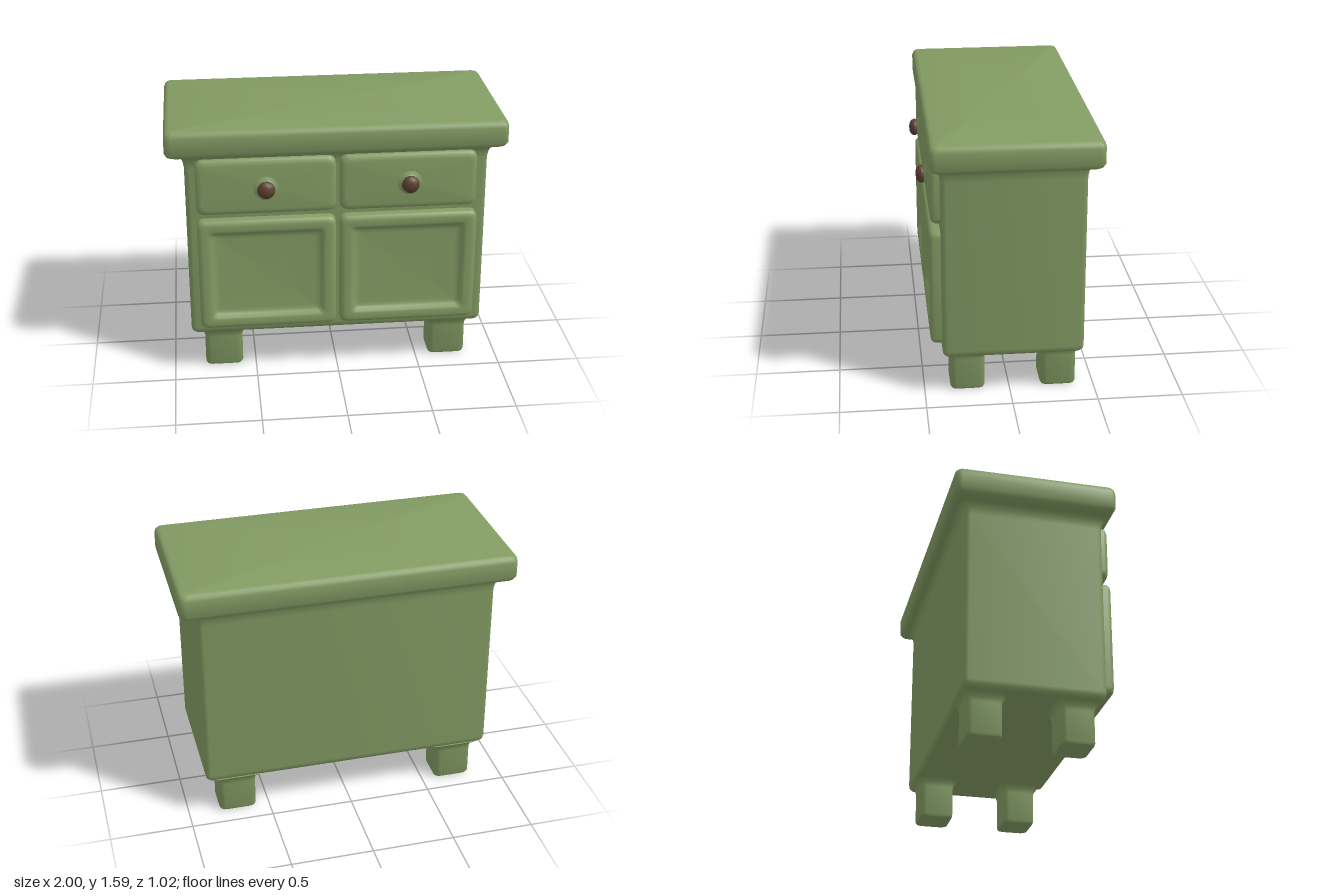
import * as THREE from 'three';
import { toCreasedNormals } from 'three/addons/utils/BufferGeometryUtils.js';

const green = new THREE.MeshStandardMaterial({ color: 0x829b63 });
green.name = 'sage green paint';
const brown = new THREE.MeshStandardMaterial({ color: 0x5c4030 });
brown.name = 'brown knob';

const STEPS = 4; // segments per rounded corner

// Closed solid through rounded rectangles: [height, inset, cornerRadius], inset from box [x0, x1, z0, z1]
function loft([x0, x1, z0, z1], sections) {
  const pos = [], index = [], n = 4 * (STEPS + 1);
  for (const [y, inset, r] of sections) {
    const corners = [
      [x1 - inset - r, z1 - inset - r], [x0 + inset + r, z1 - inset - r],
      [x0 + inset + r, z0 + inset + r], [x1 - inset - r, z0 + inset + r],
    ];
    corners.forEach(([cx, cz], c) => {
      for (let s = 0; s <= STEPS; s++) {
        const a = (c + s / STEPS) * Math.PI / 2;
        pos.push(cx + r * Math.cos(a), y, cz + r * Math.sin(a));
      }
    });
  }
  const last = sections.length - 1;
  for (let k = 0; k < last; k++) {
    for (let i = 0; i < n; i++) {
      const j = (i + 1) % n, a = k * n, b = a + n;
      index.push(a + i, b + i, b + j, a + i, b + j, a + j);
    }
  }
  // end caps
  const mx = (x0 + x1) / 2, mz = (z0 + z1) / 2, base = pos.length / 3;
  pos.push(mx, sections[0][0], mz, mx, sections[last][0], mz);
  for (let i = 0; i < n; i++) {
    const j = (i + 1) % n;
    index.push(base, i, j, base + 1, last * n + j, last * n + i);
  }
  const geo = new THREE.BufferGeometry();
  geo.setAttribute('position', new THREE.Float32BufferAttribute(pos, 3));
  geo.setIndex(index);
  return geo;
}

function add(parent, name, geo, material = green) {
  const mesh = new THREE.Mesh(toCreasedNormals(geo, 0.75), material);
  mesh.name = name;
  parent.add(mesh);
  return mesh;
}

// Front piece: lofted forwards along z, outline given in x and y
function frontPiece(x0, x1, y0, y1, sections) {
  return loft([x0, x1, -y1, -y0], sections).rotateX(Math.PI / 2);
}

export function createModel() {
  const group = new THREE.Group();
  group.name = 'sideboard';

  // Cabinet body, flaring softly into the top board
  add(group, 'body', loft([-0.89, 0.89, -0.43, 0.395], [
    [0.25, 0.035, 0.03], [0.257, 0.015, 0.03], [0.272, 0.004, 0.03], [0.295, 0, 0.03],
    [1.34, 0, 0.03], [1.38, -0.006, 0.03], [1.405, -0.018, 0.035], [1.43, -0.045, 0.04],
  ]));

  // Thick top board with rounded edges
  add(group, 'topBoard', loft([-1, 1, -0.51, 0.46], [
    [1.412, 0.06, 0.03], [1.418, 0.034, 0.035], [1.43, 0.012, 0.04], [1.452, 0, 0.04],
    [1.548, 0, 0.04], [1.57, 0.006, 0.04], [1.581, 0.016, 0.035], [1.586, 0.034, 0.03],
  ]));

  // Four square legs, flaring into the underside
  for (const side of [-1, 1]) {
    for (const [place, z0, z1] of [['front', 0.145, 0.347], ['back', -0.395, -0.185]]) {
      const x0 = side > 0 ? 0.58 : -0.81;
      add(group, `${place}${side > 0 ? 'Left' : 'Right'}Leg`, loft([x0, x0 + 0.23, z0, z1], [
        [0, 0.016, 0.03], [0.004, 0.006, 0.035], [0.018, 0, 0.035],
        [0.2, 0, 0.035], [0.228, -0.006, 0.035], [0.244, -0.017, 0.035], [0.262, -0.035, 0.035],
      ]));
    }
  }

  for (const side of [-1, 1]) {
    const label = side > 0 ? 'left' : 'right';
    const x0 = side > 0 ? 0.012 : -0.83, x1 = side > 0 ? 0.83 : -0.012;

    // Door: raised frame sloping in to a recessed panel
    add(group, `${label}Door`, frontPiece(x0, x1, 0.315, 1.025, [
      [0.38, 0, 0.04], [0.435, 0, 0.04], [0.449, 0.006, 0.04], [0.457, 0.016, 0.035], [0.46, 0.03, 0.03],
      [0.46, 0.062, 0.03], [0.456, 0.074, 0.025], [0.438, 0.091, 0.02], [0.43, 0.104, 0.02], [0.428, 0.125, 0.02],
    ]));

    // Drawer front
    add(group, `${label}Drawer`, frontPiece(x0, x1 - (side > 0 ? 0.01 : 0), 1.06, 1.405, [
      [0.38, 0, 0.045], [0.422, 0, 0.045], [0.438, 0.006, 0.045], [0.447, 0.018, 0.04], [0.45, 0.036, 0.03],
    ]));

    // Knob on a flared stem
    const stem = new THREE.LatheGeometry([
      [0.085, 0.447], [0.058, 0.455], [0.042, 0.465], [0.034, 0.48], [0, 0.482],
    ].map(([r, y]) => new THREE.Vector2(r, y)), 20).rotateX(Math.PI / 2);
    add(group, `${label}KnobStem`, stem).position.set(side * 0.422, 1.225, 0);
    const knob = new THREE.SphereGeometry(0.053, 10, 8);
    knob.scale(1, 1, 0.65);
    add(group, `${label}Knob`, knob, brown).position.set(side * 0.422, 1.225, 0.478);
  }
  return group;
}
